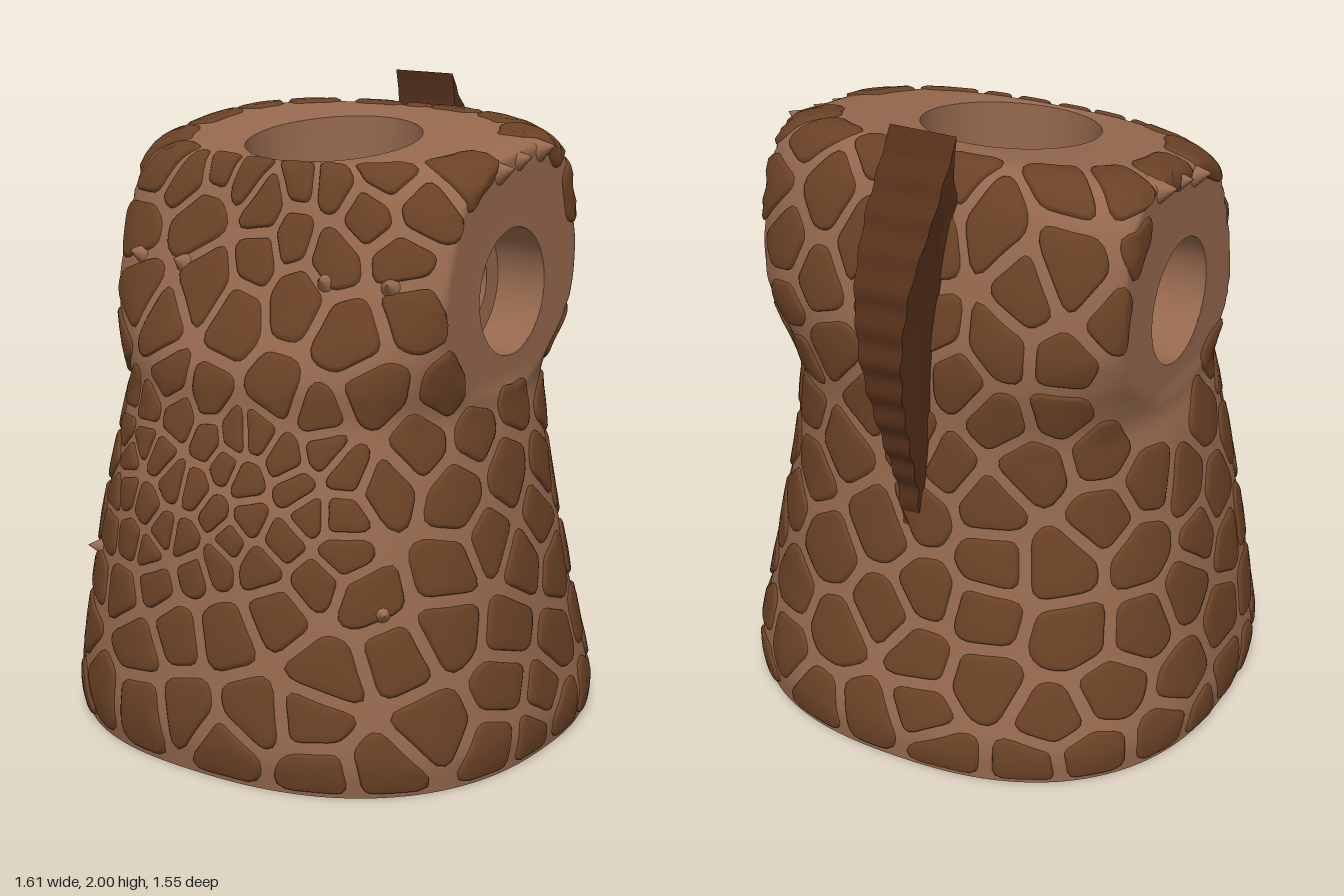
import * as THREE from 'three';
import { toCreasedNormals } from 'three/addons/utils/BufferGeometryUtils.js';

const TAU = Math.PI * 2, GIRTH = 0.68;       // GIRTH: mean radius used to measure along the skin
const ARM = { y: 1.42, z: -0.05, r: 0.195 }; // arm socket centre and radius
const H_END = 2.08;

// Body cross-sections: h (distance along skin), y, half width, front z, back z, squareness
const SECTIONS = [
  [0, 0, 0.785, 0.755, -0.755, 2.4], [0.1, 0.1, 0.795, 0.77, -0.76, 2.4],
  [0.2, 0.2, 0.78, 0.765, -0.74, 2.4], [0.4, 0.4, 0.745, 0.74, -0.685, 2.4],
  [0.6, 0.6, 0.71, 0.71, -0.645, 2.4], [0.8, 0.8, 0.67, 0.68, -0.61, 2.4],
  [1, 1, 0.63, 0.62, -0.59, 2.5], [1.1, 1.1, 0.61, 0.595, -0.585, 2.6],
  [1.2, 1.2, 0.635, 0.585, -0.59, 2.7], [1.3, 1.3, 0.68, 0.545, -0.595, 2.8],
  [1.42, 1.42, 0.72, 0.485, -0.59, 2.9], [1.6, 1.6, 0.72, 0.415, -0.55, 3],
  [1.73, 1.73, 0.69, 0.37, -0.505, 3], [1.82, 1.81, 0.63, 0.34, -0.46, 2.9],
  [1.9, 1.845, 0.54, 0.32, -0.415, 2.7], [2, 1.85, 0.4, 0.308, -0.33, 2.3],
  [H_END, 1.845, 0.275, 0.295, -0.255, 2],
];

function sectionAt(h) {
  const S = SECTIONS, last = S.length - 1;
  let i = 0;
  while (i < last - 1 && h > S[i + 1][0]) i++;
  const dh = S[i + 1][0] - S[i][0], t = (h - S[i][0]) / dh;
  const slope = (j, k) => {
    const a = S[Math.max(j - 1, 0)], b = S[Math.min(j + 1, last)];
    return (b[k] - a[k]) / (b[0] - a[0]) * dh;
  };
  return [1, 2, 3, 4, 5].map((k) =>
    (2 * t ** 3 - 3 * t * t + 1) * S[i][k] + (t ** 3 - 2 * t * t + t) * slope(i, k) +
    (3 * t * t - 2 * t ** 3) * S[i + 1][k] + (t ** 3 - t * t) * slope(i + 1, k));
}

// Skin point at angle u (0 = front) and height h; sides are cut flat at the shoulders
function skin(u, h) {
  const [y, a, zf, zb, n] = sectionAt(THREE.MathUtils.clamp(h, 0, H_END));
  const s = Math.sin(u), c = Math.cos(u), b = (zf - zb) / 2;
  const r = (Math.abs(s / a) ** n + Math.abs(c / b) ** n) ** (-1 / n);
  const limit = 0.602 + Math.max(0, 1.15 - y) * 0.35;
  const z = (zf + zb) / 2 + r * c;
  const tilt = 0.13 * THREE.MathUtils.smoothstep(y, 1.4, 1.82);
  return new THREE.Vector3(THREE.MathUtils.clamp(r * s, -limit, limit), y - tilt * z, z);
}

function skinNormal(u, h) {
  const e = 0.006, lo = Math.max(h - e, 0), hi = Math.min(h + e, H_END);
  const du = skin(u + e, h).sub(skin(u - e, h));
  return du.cross(skin(u, hi).sub(skin(u, lo))).normalize();
}

// Distance from the arm axis; squash > 1 flattens the lower half of the circle
const armDistance = (p, squash = 1) => Math.abs(p.x) > 0.5
  ? Math.hypot((p.y - ARM.y) * (p.y < ARM.y ? squash : 1), p.z - ARM.z) : 9;

function geometryFrom(points, index) {
  const g = new THREE.BufferGeometry().setFromPoints(points);
  g.setIndex(index);
  g.computeVertexNormals();
  return g;
}

// Body skin, opened at the arm sockets
function bodyGeometry() {
  const NU = 200, NH = 110, pts = [], inside = [], index = [];
  for (let j = 0; j <= NH; j++) for (let i = 0; i < NU; i++) {
    const p = skin(i / NU * TAU, j / NH * H_END), d = armDistance(p);
    inside.push(d < ARM.r);
    if (d < ARM.r) {
      const k = ARM.r / Math.max(d, 1e-4);
      p.y = ARM.y + (p.y - ARM.y) * k;
      p.z = ARM.z + (p.z - ARM.z) * k;
    }
    pts.push(p);
  }
  const tri = (...t) => { if (!t.every((v) => inside[v])) index.push(...t); };
  for (let j = 0; j < NH; j++) for (let i = 0; i < NU; i++) {
    const k = (i + 1) % NU, a = j * NU + i, b = j * NU + k;
    tri(a, b, b + NU);
    tri(a, b + NU, a + NU);
  }
  return geometryFrom(pts, index);
}

// Raised scales: angular cells grown around scattered seeds
function scalesGeometry() {
  let state = 7;
  const rnd = () => (state = (state * 16807) % 2147483647) / 2147483647;
  const span = TAU * GIRTH;
  const wrap = (d) => d - span * Math.round(d / span);
  const spacing = (s, h) => {
    const belly = Math.abs(wrap(s)) < 0.48 && h > 0.64 && h < 1.06;
    return belly ? 0.085 : h < 0.12 ? 0.14 : (0.15 + 0.06 * rnd());
  };
  const seeds = [];
  for (let i = 0; i < 9000; i++) {
    const s = rnd() * span, h = 0.06 + rnd() * 1.8, r = spacing(s, h);
    if (seeds.every((q) => Math.hypot(wrap(q.s - s), q.h - h) > (Math.min(r, q.r) + r) / 2)) seeds.push({ s, h, r });
  }
  const N = 32, pts = [], index = [];
  const rings = [[1, -0.006], [0.95, 0.006], [0.85, 0.011], [0.45, 0.012]];
  for (const q of seeds) {
    if (armDistance(skin(q.s / GIRTH, q.h), 1.3) < 0.39) continue;
    const near = seeds.filter((o) => o !== q).map((o) => [wrap(o.s - q.s), o.h - q.h])
      .filter(([x, y]) => Math.hypot(x, y) < 0.5);
    const gap = q.r < 0.1 ? 0.011 : 0.017;
    let reach = Array.from({ length: N }, (_, k) => {
      const c = Math.cos(k / N * TAU), s = Math.sin(k / N * TAU);
      let r = q.r * 1.15;
      for (const [x, y] of near) {
        const d = Math.hypot(x, y), cos = (x * c + y * s) / d;
        if (cos > 0.05) r = Math.min(r, (d / 2 - gap) / cos);
      }
      // stop at the base and before the smooth collar
      if (s < 0) r = Math.min(r, (q.h - 0.015) / -s);
      if (s > 0) r = Math.min(r, (1.94 - q.h) / s);
      // keep clear of the smooth shoulder discs
      while (r > 0.02 && armDistance(skin((q.s + c * r) / GIRTH, q.h + s * r), 1.3) < 0.37) r *= 0.94;
      return r;
    });
    // round the corners
    reach = reach.map((r, k) => (reach[(k + N - 1) % N] + 2 * r + reach[(k + 1) % N]) / 4);
    const base = pts.length;
    const put = (s, h, lift) => pts.push(skin(s / GIRTH, h).addScaledVector(skinNormal(s / GIRTH, h), lift));
    rings.forEach(([f, lift]) => reach.forEach((r, k) =>
      put(q.s + Math.cos(k / N * TAU) * r * f, q.h + Math.sin(k / N * TAU) * r * f, lift)));
    put(q.s, q.h, 0.013);
    for (let k = 0; k < N; k++) {
      const m = (k + 1) % N;
      for (let j = 0; j < rings.length - 1; j++) {
        const a = base + j * N + k, b = base + j * N + m;
        index.push(a, b, b + N, a, b + N, a + N);
      }
      const top = base + (rings.length - 1) * N;
      index.push(top + k, top + m, base + rings.length * N);
    }
  }
  return geometryFrom(pts, index);
}

const lathe = (profile) => toCreasedNormals(
  new THREE.LatheGeometry(profile.map(([r, y]) => new THREE.Vector2(r, y)), 64), 0.6);

// Crest: rippled side profile with a hooked tip, extruded across and narrowed downwards
function crestGeometry() {
  const edge = new THREE.SplineCurve([[0.5, 2], [0.545, 1.93], [0.6, 1.85], [0.68, 1.73], [0.745, 1.6], [0.765, 1.42],
    [0.745, 1.28], [0.695, 1.1], [0.635, 0.92], [0.615, 0.77]].map(([z, y]) => new THREE.Vector2(z, y)));
  const outline = edge.getSpacedPoints(72).map((p, i) => p.setX(p.x + (i > 3 ? 0.006 * Math.sin(i * TAU / 6) : 0)));
  [[0.57, 0.78], [0.55, 1], [0.55, 1.4], [0.5, 1.6], [0.43, 1.78], [0.5, 1.82], [0.52, 1.88], [0.513, 1.94]]
    .forEach(([z, y]) => outline.push(new THREE.Vector2(z, y)));
  const g = new THREE.ExtrudeGeometry(new THREE.Shape(outline), { depth: 2, steps: 1, bevelEnabled: false });
  g.translate(0, 0, -1).rotateY(Math.PI / 2);
  const p = g.attributes.position;
  for (let i = 0; i < p.count; i++)
    p.setX(i, p.getX(i) * (0.03 + 0.078 * THREE.MathUtils.clamp((p.getY(i) - 0.75) / 1.05, 0, 1) ** 1.4));
  return toCreasedNormals(g, 0.7);
}

export function createModel() {
  const model = new THREE.Group();
  const paint = (color, extra) => new THREE.MeshStandardMaterial({ color, ...extra });
  const skinMat = paint(0x96694e), innerMat = paint(0x96694e, { side: THREE.DoubleSide });
  const add = (name, geometry, material) => {
    const mesh = new THREE.Mesh(geometry, material);
    mesh.name = name;
    model.add(mesh);
    return mesh;
  };

  add('body', bodyGeometry(), skinMat);
  add('scales', scalesGeometry(), paint(0x6b4226));
  add('backCrest', crestGeometry(), paint(0x56301a));

  // Underside rim and stepped waist hollow
  const rim = new THREE.Shape(Array.from({ length: 96 }, (_, i) => {
    const p = skin(i / 96 * TAU, 0);
    return new THREE.Vector2(p.x, p.z);
  }));
  rim.holes.push(new THREE.Path().absarc(0, 0, 0.65, 0, TAU, true));
  add('baseRim', new THREE.ShapeGeometry(rim, 64).rotateX(Math.PI / 2), innerMat);
  add('waistHollow', lathe([[0.65, 0], [0.65, 0.25], [0.53, 0.25], [0.53, 0.45], [0.43, 0.45], [0.43, 0.75], [0, 0.75]]), innerMat);

  // Neck socket, its mouth sloped like the shoulders
  const neck = lathe([[0, 1.47], [0.13, 1.47], [0.13, 1.56], [0.275, 1.56], [0.275, 1.845]]).translate(0, 0, 0.02);
  const np = neck.attributes.position;
  for (let i = 0; i < np.count; i++) if (np.getY(i) > 1.8) np.setY(i, np.getY(i) - 0.13 * np.getZ(i));
  add('neckSocket', neck, innerMat);

  for (const side of [1, -1]) {
    const label = side > 0 ? 'left' : 'right';
    const socket = add(label + 'ArmSocket',
      lathe([[0, 0.34], [0.125, 0.34], [0.125, 0.44], [ARM.r, 0.44], [ARM.r, 0.604], [ARM.r + 0.025, 0.603]]), innerMat);
    socket.rotation.z = -side * Math.PI / 2;
    socket.position.set(0, ARM.y, ARM.z);

    // Thorns: three on the shoulder top, two on the chest, one on the hip
    const thorns = [[1.42, 1.8, 0.07], [1.6, 1.81, 0.06], [1.8, 1.81, 0.07],
      [0.48, 1.5, 0.065], [0.78, 1.5, 0.065], [0.8, 0.56, 0.06]];
    thorns.forEach(([u, h, size], i) => {
      const n = skinNormal(side * u, h);
      if (i < 3) n.set(side, 0.3, 0).normalize();
      const thorn = add(label + 'Thorn' + (i + 1), new THREE.ConeGeometry(size * 0.7, size * 1.2, 16), skinMat);
      thorn.position.copy(skin(side * u, h)).addScaledVector(n, size * 0.15);
      thorn.quaternion.setFromUnitVectors(new THREE.Vector3(0, 1, 0), n);
    });
  }
  return model;
}
